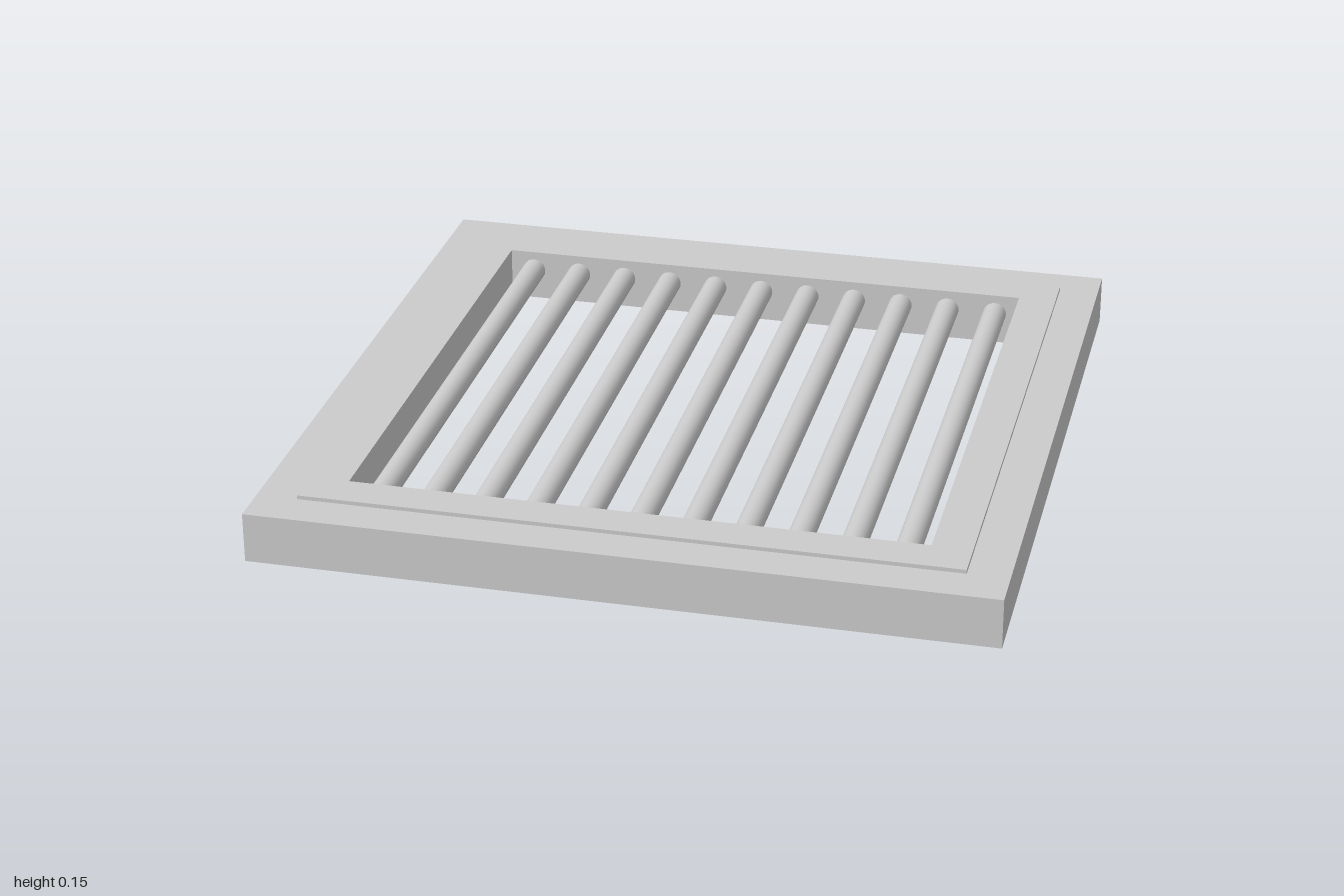
import * as THREE from 'three';

const OPENING = 0.78, BAR_COUNT = 11, BAR_SPACING = 0.1418, BAR_RADIUS = 0.034, BAR_Y = 0.092;

function squarePath(Type, h) {
  return new Type().setFromPoints([
    new THREE.Vector2(-h, -h), new THREE.Vector2(h, -h),
    new THREE.Vector2(h, h), new THREE.Vector2(-h, h),
  ]);
}

// Flat square ring lying on y = bottom
function squareRing(name, half, bottom, height, material) {
  const shape = squarePath(THREE.Shape, half);
  shape.holes.push(squarePath(THREE.Path, OPENING));
  const geometry = new THREE.ExtrudeGeometry(shape, { depth: height, bevelEnabled: false });
  geometry.rotateX(-Math.PI / 2);
  const mesh = new THREE.Mesh(geometry, material);
  mesh.name = name;
  mesh.position.y = bottom;
  return mesh;
}

export function createModel() {
  const model = new THREE.Group();
  model.name = 'floorGrate';
  const material = new THREE.MeshStandardMaterial({ color: 0xcccccc });

  // Outer frame and the thin raised lip around the opening
  model.add(squareRing('frame', 1, 0, 0.139, material));
  model.add(squareRing('raisedLip', 0.888, 0.139, 0.011, material));

  // Round bars running front to back across the opening
  const bars = new THREE.Group();
  bars.name = 'bars';
  const barGeometry = new THREE.CylinderGeometry(BAR_RADIUS, BAR_RADIUS, OPENING * 2, 32);
  barGeometry.rotateX(Math.PI / 2);
  for (let i = 0; i < BAR_COUNT; i++) {
    const bar = new THREE.Mesh(barGeometry, material);
    bar.name = 'bar' + (i + 1);
    bar.position.set((i - (BAR_COUNT - 1) / 2) * BAR_SPACING, BAR_Y, 0);
    bars.add(bar);
  }
  model.add(bars);
  return model;
}
